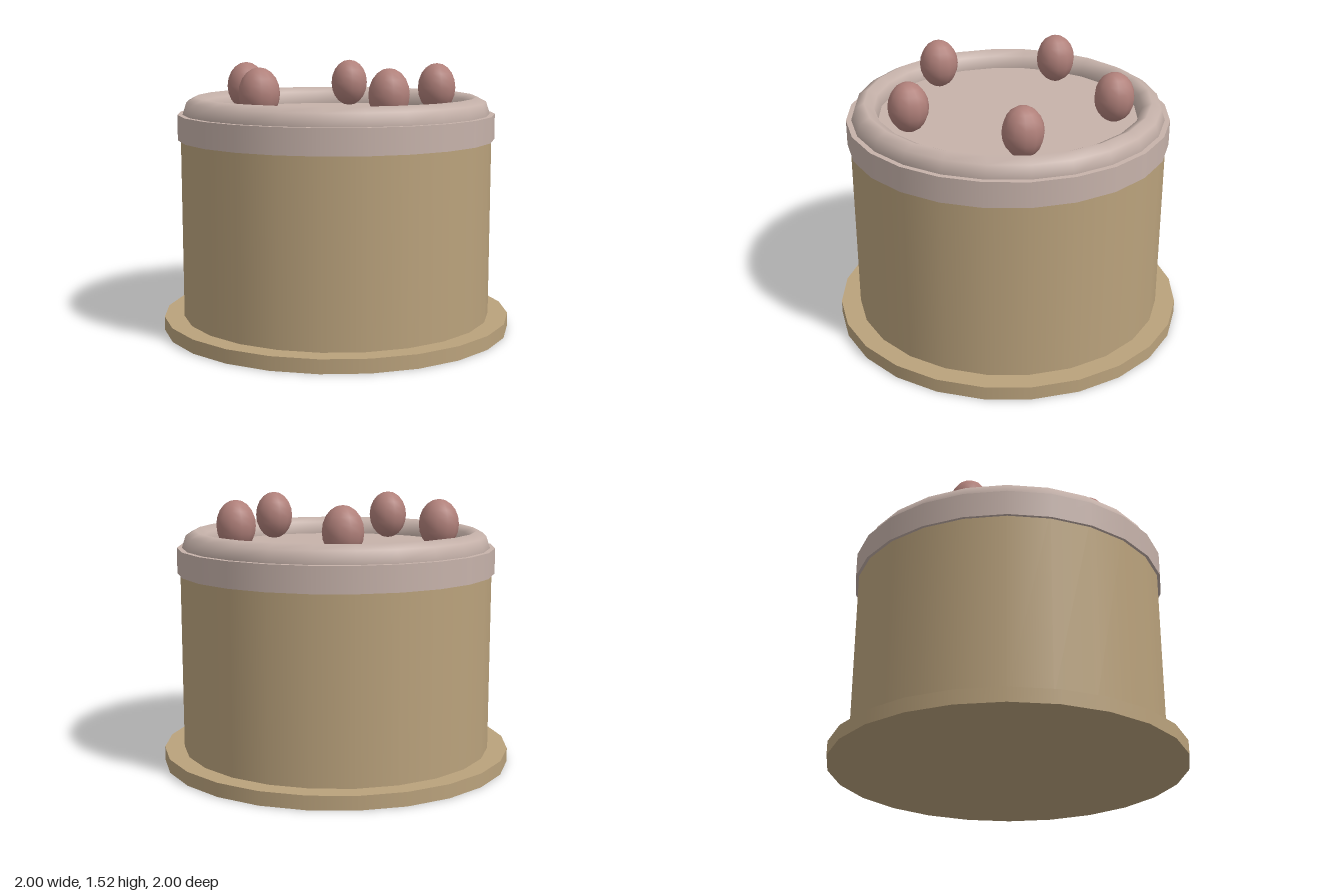
import * as THREE from 'three';

export function createModel() {
  const group = new THREE.Group();
  const tan = new THREE.MeshStandardMaterial({ color: 0xbaa27c });
  tan.name = 'tan sponge';
  const icing = new THREE.MeshStandardMaterial({ color: 0xc6b2aa });
  icing.name = 'pale pink icing';
  const berry = new THREE.MeshStandardMaterial({ color: 0xb0807a });
  berry.name = 'dusky red berry';

  const SIDES = 24;
  const add = (name, geometry, material, x, y, z) => {
    const mesh = new THREE.Mesh(geometry, material);
    mesh.name = name;
    mesh.position.set(x, y, z);
    group.add(mesh);
    return mesh;
  };
  // Round layer given by its radius and its bottom and top heights
  const layer = (name, radius, bottom, top, material) =>
    add(name, new THREE.CylinderGeometry(radius, radius, top - bottom, SIDES),
      material, 0, (bottom + top) / 2, 0);

  // Plate, cake and icing layer
  layer('plate', 1, 0, 0.078, tan);
  layer('cakeBody', 0.887, 0.078, 1.14, tan);
  layer('icingLayer', 0.904, 1.095, 1.238, icing);

  // Piped rim, taller than a round tube
  const rim = new THREE.TorusGeometry(0.8, 0.075, 8, SIDES);
  rim.rotateX(-Math.PI / 2).scale(1, 1.27, 1);
  add('icingRim', rim, icing, 0, 1.24, 0);

  // Ring of five egg-shaped berries
  const ball = new THREE.SphereGeometry(0.112, 12, 10);
  ball.scale(1, 1.25, 1);
  for (let i = 0; i < 5; i++) {
    const a = (i / 5) * Math.PI * 2;
    add('berry' + (i + 1), ball, berry, 0.593 * Math.cos(a), 1.376, 0.593 * Math.sin(a));
  }
  return group;
}
